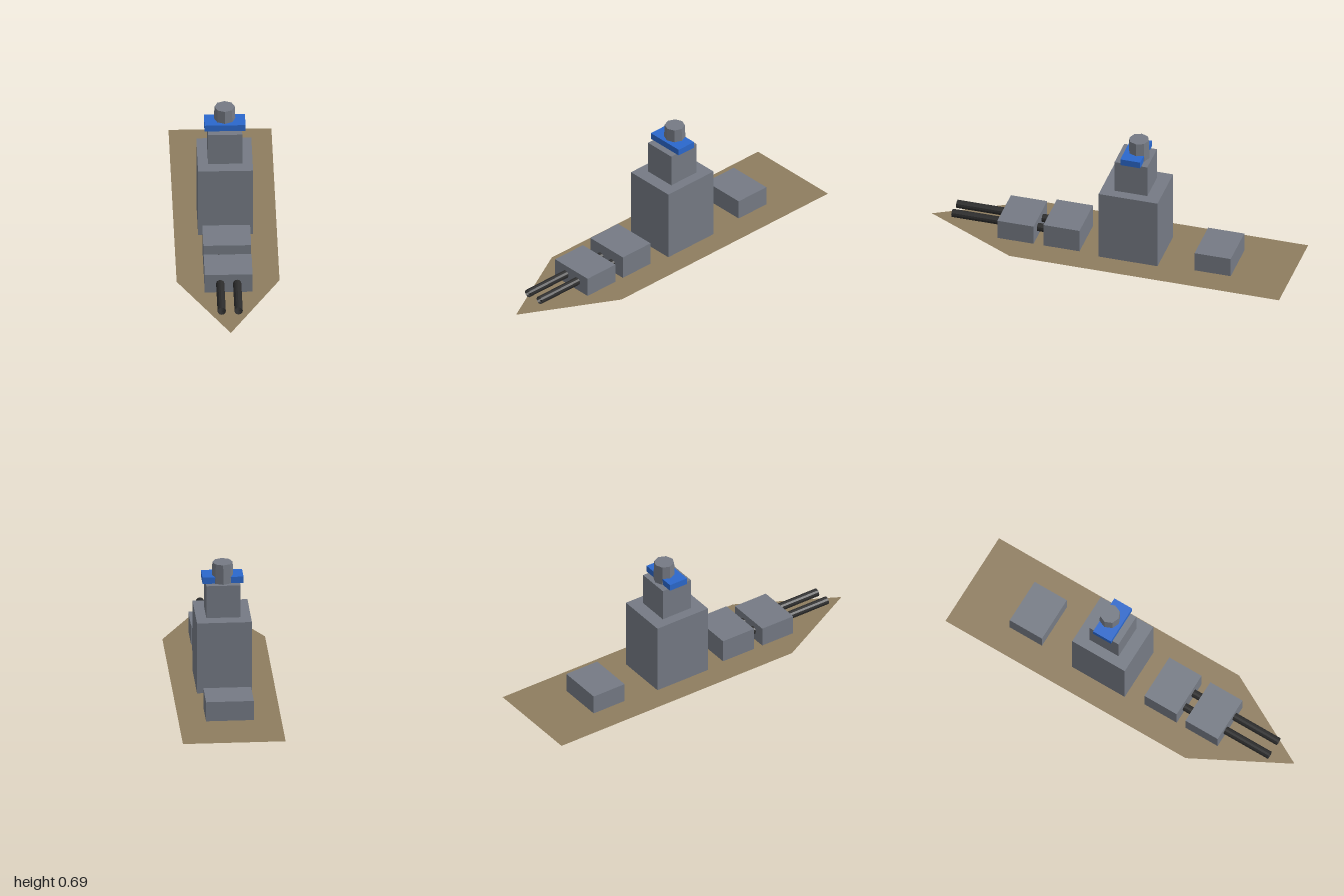
import * as THREE from 'three';

const mat = (name, color) => {
  const m = new THREE.MeshStandardMaterial({ color });
  m.name = name;
  return m;
};

export function createModel() {
  const model = new THREE.Group();
  model.name = 'warship';

  const grey = mat('hull grey', 0x757a84);
  const blue = mat('bridge blue', 0x2b68cc);
  const tan = mat('deck tan', 0x8e7d5f);
  const black = mat('gun black', 0x2b2b2b);
  tan.side = black.side = THREE.DoubleSide;
  grey.flatShading = black.flatShading = true;

  const add = (name, geometry, material, x = 0, y = 0, z = 0) => {
    const mesh = new THREE.Mesh(geometry, material);
    mesh.name = name;
    mesh.position.set(x, y, z);
    model.add(mesh);
    return mesh;
  };
  // Box given by its width, vertical range and z range
  const block = (name, material, w, y0, y1, z0, z1) =>
    add(name, new THREE.BoxGeometry(w, y1 - y0, z1 - z0), material, 0, (y0 + y1) / 2, (z0 + z1) / 2);

  // Flat deck with a pointed bow
  const outline = [[-0.273, 1], [0.273, 1], [0.273, -0.49], [0, -1], [-0.273, -0.49]];
  const deck = new THREE.Shape(outline.map(([x, y]) => new THREE.Vector2(x, y)));
  add('deck', new THREE.ShapeGeometry(deck).rotateX(-Math.PI / 2), tan);

  // Stacked superstructure
  block('superstructure', grey, 0.292, 0.001, 0.4, -0.291, 0.035);
  block('tower', grey, 0.182, 0.4, 0.582, -0.218, -0.037);
  block('bridge', blue, 0.218, 0.582, 0.618, -0.184, -0.074);
  add('funnel', new THREE.CylinderGeometry(0.054, 0.058, 0.109, 8), grey, 0, 0.6365, -0.146);

  // Gun turrets
  block('bowTurret', grey, 0.254, 0.001, 0.11, 0.4, 0.6);
  block('raisedTurret', grey, 0.254, 0.001, 0.131, 0.146, 0.346);
  block('sternTurret', grey, 0.254, 0.001, 0.11, -0.69, -0.49);

  // Twin open barrels running forward through the bow turret
  const r = 0.022, back = 0.25, front = 0.873;
  const tube = new THREE.CylinderGeometry(r, r, front - back, 12, 1, true).rotateX(Math.PI / 2);
  const wedge = new THREE.CircleGeometry(r, 1, 0, Math.PI / 6);
  for (const x of [-0.045, 0.045]) {
    add('gunBarrel', tube, black, x, 0.056, (front + back) / 2);
    add('muzzleWedge', wedge, black, x, 0.056, front);
  }
  return model;
}
